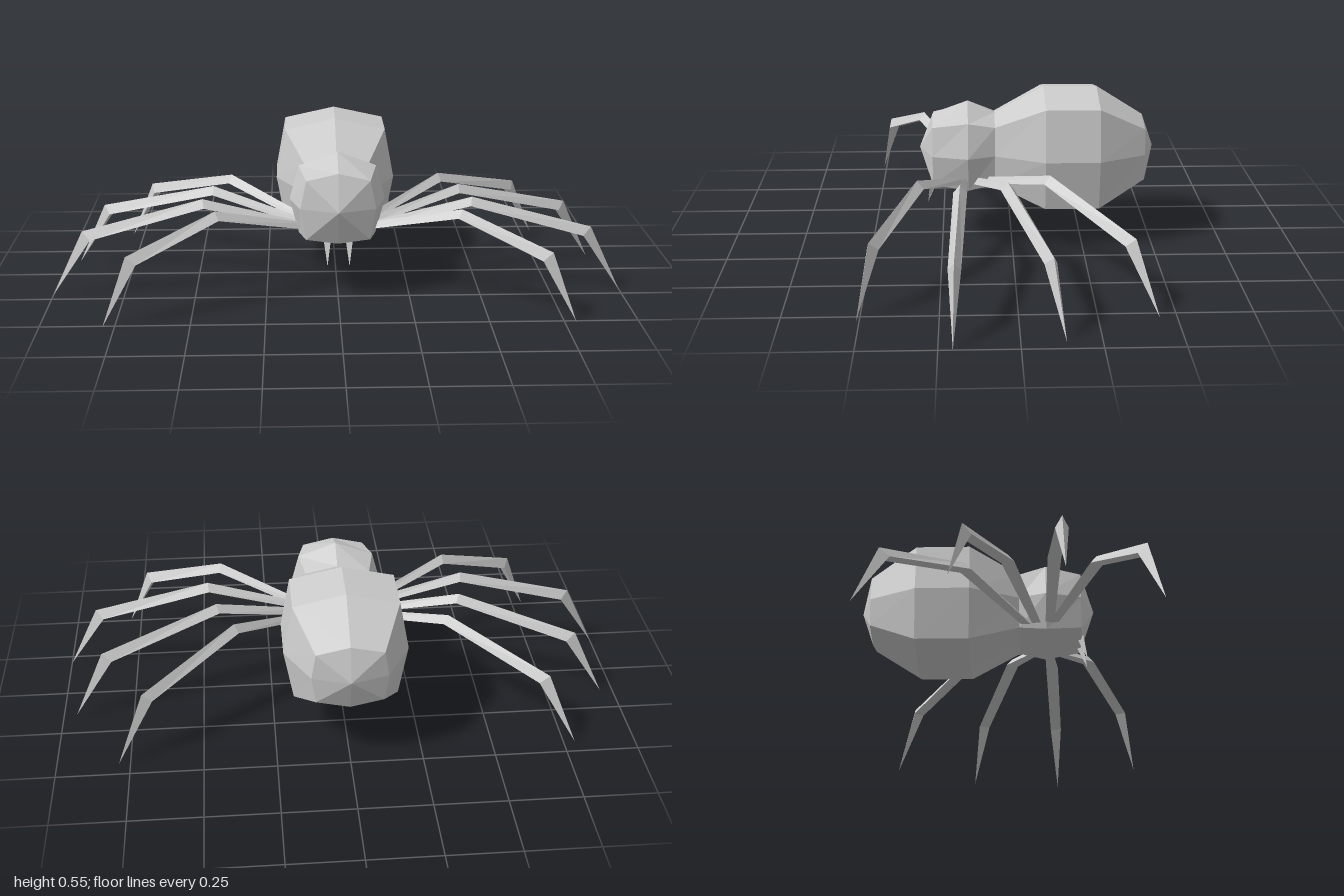
import * as THREE from 'three';

const shell = new THREE.MeshStandardMaterial({ color: 0xcccccc });
shell.name = 'pale grey';
shell.flatShading = true;

// Skin between rings of points; each ring runs counter-clockwise seen from the start.
function loft(name, rings) {
  const pos = [];
  const tri = (a, b, c) => {
    const area = b.clone().sub(a).cross(c.clone().sub(a)).length();
    if (area > 1e-8) for (const p of [a, b, c]) pos.push(p.x, p.y, p.z);
  };
  for (let i = 0; i < rings.length - 1; i++) {
    const a = rings[i], b = rings[i + 1], n = a.length;
    for (let j = 0; j < n; j++) {
      const k = (j + 1) % n;
      tri(a[j], b[j], b[k]);
      tri(a[j], b[k], a[k]);
    }
  }
  const geo = new THREE.BufferGeometry();
  geo.setAttribute('position', new THREE.Float32BufferAttribute(pos, 3));
  geo.computeVertexNormals();
  const mesh = new THREE.Mesh(geo, shell);
  mesh.name = name;
  return mesh;
}

const V = (x, y, z) => new THREE.Vector3(x, y, z);

// Eight-sided body ring: side width, corner width, heights above and below the middle line
const MID = 0.33;
function bodyRing([z, side, corner, top, topCorner, lowCorner, low]) {
  return [
    V(side, MID, z), V(corner, topCorner, z), V(0, top, z), V(-corner, topCorner, z),
    V(-side, MID, z), V(-corner, lowCorner, z), V(0, low, z), V(corner, lowCorner, z),
  ];
}

// Triangular leg ring with its ridge on top; lean pushes the base back along the leg
function legRing(ridge, dir, halfWidth, height, lean) {
  const right = dir.clone().cross(V(0, 1, 0)).multiplyScalar(halfWidth);
  const base = ridge.clone().addScaledVector(dir, -lean);
  base.y -= height;
  return [base.clone().add(right), ridge.clone(), base.clone().sub(right)];
}

function makeLeg(name, side, [hip, knee, ankle, tip]) {
  const at = ([x, y, z]) => V(x * side, y, z);
  const h = at(hip), k = at(knee), a = at(ankle), t = at(tip);
  const dir = t.clone().sub(h).setY(0).normalize();
  const start = h.clone();
  start.y -= 0.012;
  return loft(name, [
    [start, start, start],
    legRing(h, dir, 0.014, 0.022, 0),
    legRing(k, dir, 0.023, 0.028, 0.004),
    legRing(a, dir, 0.021, 0.028, 0.028),
    [t, t, t],
  ]);
}

export function createModel() {
  const model = new THREE.Group();
  model.name = 'spider';

  // Head and abdomen share the narrow waist ring
  const waist = [0.06, 0.13, 0.115, 0.455, 0.43, 0.22, 0.205];
  const head = [
    [0.328, 0, 0, MID, MID, MID, MID],
    [0.28, 0.13, 0.11, 0.455, 0.43, 0.22, 0.205],
    [0.155, 0.167, 0.135, 0.5, 0.45, 0.205, 0.19],
    waist,
  ];
  const abdomen = [
    waist,
    [-0.115, 0.215, 0.182, 0.55, 0.51, 0.15, 0.11],
    [-0.305, 0.215, 0.182, 0.55, 0.51, 0.15, 0.11],
    [-0.47, 0.13, 0.115, 0.445, 0.42, 0.235, 0.21],
    [-0.51, 0, 0, MID, MID, MID, MID],
  ];
  model.add(loft('head', head.map(bodyRing)), loft('abdomen', abdomen.map(bodyRing)));

  // Legs, front to back: hip, knee, ankle, tip
  const legs = [
    [[0.07, 0.235, 0.15], [0.42, 0.34, 0.325], [0.71, 0.232, 0.47], [0.79, 0, 0.51]],
    [[0.07, 0.235, 0.165], [0.47, 0.34, 0.182], [0.89, 0.232, 0.2], [1, 0, 0.205]],
    [[0.07, 0.235, 0.14], [0.44, 0.34, 0.025], [0.85, 0.232, -0.105], [0.955, 0, -0.14]],
    [[0.07, 0.235, 0.125], [0.38, 0.34, -0.12], [0.7, 0.232, -0.375], [0.79, 0, -0.445]],
  ];
  for (const side of [1, -1]) {
    const word = side > 0 ? 'left' : 'right';
    legs.forEach((leg, i) => model.add(makeLeg(`${word}Leg${i + 1}`, side, leg)));

    // Small pointed fang under the face
    const x = 0.038 * side, tip = V(x, 0.13, 0.302);
    const base = [V(x + 0.014, 0.225, 0.262), V(x, 0.225, 0.288), V(x - 0.014, 0.225, 0.262)];
    model.add(loft(`${word}Fang`, [base.reverse(), [tip, tip, tip]].map((r) => r.slice().reverse())));
  }
  return model;
}
